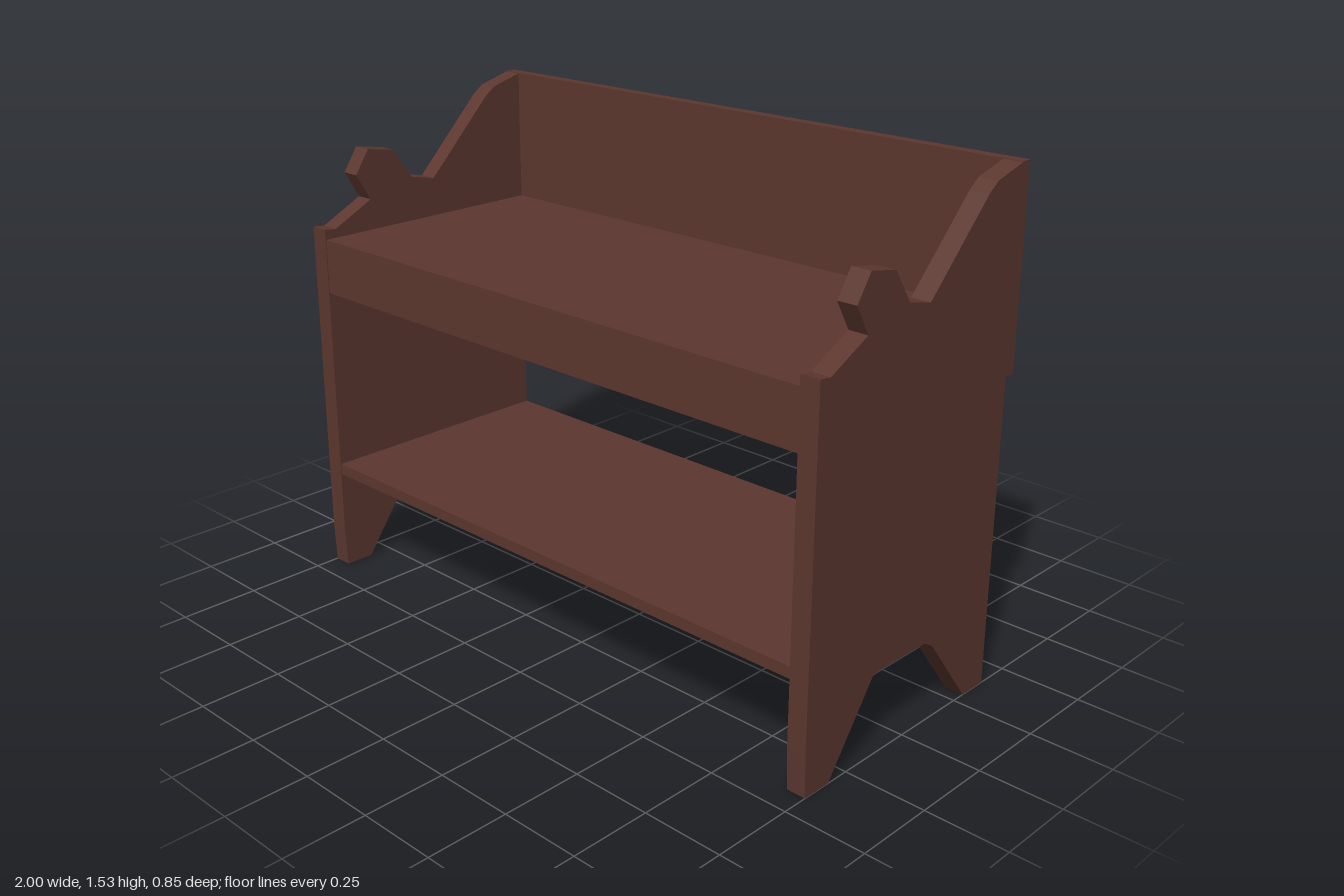
import * as THREE from 'three';

const wood = new THREE.MeshStandardMaterial({ color: 0x5c372f });
wood.name = 'dark brown wood';

const HALF = 1, THICK = 0.06, INNER = HALF - THICK;
const FRONT = 0.425, BACK = -0.39;

// Side panel outline as [z, y]: feet, back edge, scrolled armrest
const outline = [
  [0.42, 0], [0.325, 0], [0.15, 0.245], [0.125, 0.252], [-0.085, 0.248], [-0.12, 0.227],
  [-0.295, 0], [BACK, 0], [BACK, 1.528], [-0.28, 1.498], [-0.242, 1.47],
  [-0.01, 1.235], [0.08, 1.255], [0.145, 1.352], [0.245, 1.37], [0.295, 1.295],
  [0.245, 1.21], [0.385, 1.14], [FRONT, 1.145], [FRONT, 0.13],
];

// Board given by its minimum and maximum corners
function board(name, [x0, y0, z0], [x1, y1, z1]) {
  const geo = new THREE.BoxGeometry(x1 - x0, y1 - y0, z1 - z0);
  geo.translate((x0 + x1) / 2, (y0 + y1) / 2, (z0 + z1) / 2);
  const mesh = new THREE.Mesh(geo, wood);
  mesh.name = name;
  return mesh;
}

// Upright panel extruded along x
function sidePanel(name, x0) {
  const shape = new THREE.Shape(outline.map(([z, y]) => new THREE.Vector2(-z, y)));
  const geo = new THREE.ExtrudeGeometry(shape, { depth: THICK, bevelEnabled: false });
  geo.rotateY(Math.PI / 2);
  geo.translate(x0, 0, 0);
  const mesh = new THREE.Mesh(geo, wood);
  mesh.name = name;
  return mesh;
}

export function createModel() {
  const bench = new THREE.Group();
  bench.name = 'bench';
  bench.add(
    sidePanel('leftSidePanel', INNER),
    sidePanel('rightSidePanel', -HALF),
    // Backrest covers the rear edges of both panels
    board('backrest', [-HALF, 0.94, -0.425], [HALF, 1.53, BACK]),
    // Thin seat resting on the front apron
    board('seat', [-INNER, 1.08, BACK], [INNER, 1.112, 0.422]),
    board('apron', [-INNER, 0.94, 0.388], [INNER, 1.08, 0.422]),
    board('lowerShelf', [-INNER, 0.325, BACK], [INNER, 0.36, 0.422]),
  );
  return bench;
}
